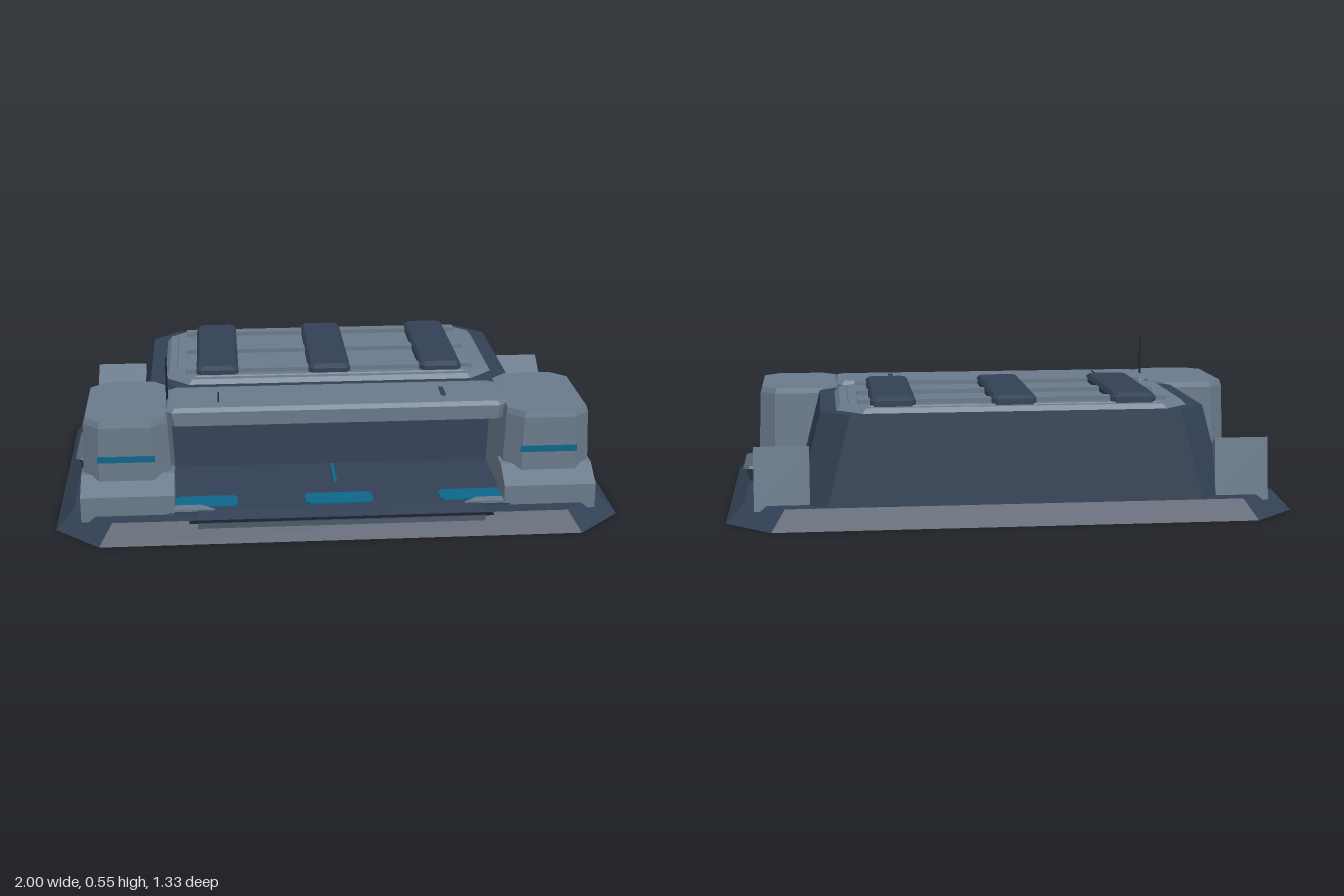
import * as THREE from 'three';

const mat = (name, color) => {
  const m = new THREE.MeshStandardMaterial({ color, side: THREE.DoubleSide });
  m.name = name;
  return m;
};

// Ring with cut corners: [y, x0, x1, z0, z1, cut]
function ring([y, x0, x1, z0, z1, c]) {
  return [
    [x0 + c, z1], [x1 - c, z1], [x1, z1 - c], [x1, z0 + c],
    [x1 - c, z0], [x0 + c, z0], [x0, z0 + c], [x0, z1 - c],
  ].map(([x, z]) => [x, y, z]);
}

// Flat-sided loft through cut-corner rings, from bottom to top
function loft(sections, openBottom = false) {
  const rings = sections.map(ring), pos = [];
  const tri = (...pts) => pts.forEach((p) => pos.push(...p));
  for (let k = 0; k < rings.length - 1; k++) {
    const a = rings[k], b = rings[k + 1];
    for (let i = 0; i < 8; i++) {
      const j = (i + 1) % 8;
      tri(a[i], a[j], b[j]);
      tri(a[i], b[j], b[i]);
    }
  }
  const top = rings[rings.length - 1], low = rings[0];
  for (let i = 1; i < 7; i++) {
    tri(top[0], top[i], top[i + 1]);
    if (!openBottom) tri(low[0], low[i + 1], low[i]);
  }
  const g = new THREE.BufferGeometry();
  g.setAttribute('position', new THREE.Float32BufferAttribute(pos, 3));
  g.computeVertexNormals();
  return g;
}

// Side profile of [z, y] points extruded across x0..x1
function profile(points, x0, x1) {
  const shape = new THREE.Shape(points.map(([z, y]) => new THREE.Vector2(z, y)));
  const g = new THREE.ExtrudeGeometry(shape, { depth: x1 - x0, bevelEnabled: false });
  g.rotateY(-Math.PI / 2);
  g.translate(x1, 0, 0);
  return g;
}

const box = (x0, x1, y0, y1, z0, z1) =>
  new THREE.BoxGeometry(x1 - x0, y1 - y0, z1 - z0)
    .translate((x0 + x1) / 2, (y0 + y1) / 2, (z0 + z1) / 2);

export function createModel() {
  const model = new THREE.Group();
  model.name = 'bunkerBuilding';
  const light = mat('lightSlate', 0x6a7a8b);
  const mid = mat('midSlate', 0x56646f);
  const dark = mat('darkSlate', 0x334155);
  const blue = mat('glowBlue', 0x0e6689);
  const black = mat('nearBlack', 0x18212b);
  const add = (name, geometry, material) => {
    const m = new THREE.Mesh(geometry, material);
    m.name = name;
    model.add(m);
    return m;
  };

  // Sloped foundation, hollow underneath
  add('foundation', loft([
    [0, -1, 1, -0.665, 0.665, 0.16],
    [0.07, -0.935, 0.935, -0.62, 0.62, 0.14],
  ], true), dark);

  // Main hall and its roof plates
  add('hall', loft([
    [0.07, -0.75, 0.75, -0.62, 0.13, 0.1],
    [0.385, -0.67, 0.67, -0.6, 0.12, 0.1],
  ]), dark);
  add('roofPlate', loft([
    [0.38, -0.62, 0.62, -0.575, 0.09, 0.09],
    [0.402, -0.6, 0.6, -0.56, 0.075, 0.085],
  ]), light);
  add('roofPanel', loft([
    [0.4, -0.575, 0.575, -0.535, 0.05, 0.07],
    [0.406, -0.57, 0.57, -0.53, 0.045, 0.07],
  ]), light);

  // Roof slats and the rails below them
  for (const x of [-0.42, 0, 0.42]) {
    add('roofSlat', loft([
      [0.4, x - 0.078, x + 0.078, -0.535, 0.04, 0.015],
      [0.422, x - 0.078, x + 0.078, -0.535, 0.04, 0.015],
      [0.435, x - 0.068, x + 0.068, -0.515, 0.02, 0.015],
    ]), dark);
  }
  for (const z of [-0.475, -0.245, -0.005]) {
    add('roofRail', box(-0.54, 0.54, 0.4, 0.422, z - 0.022, z + 0.022), light);
  }

  // Canopy over the open front bay
  add('canopy', loft([
    [0.335, -0.6, 0.6, 0.15, 0.395, 0.025],
    [0.385, -0.61, 0.61, 0.15, 0.395, 0.025],
    [0.4, -0.6, 0.6, 0.16, 0.385, 0.025],
  ]), light);
  add('canopyGroove', box(-0.423, -0.417, 0.398, 0.402, 0.23, 0.33), black);
  add('canopyVent', box(0.383, 0.4, 0.398, 0.404, 0.23, 0.32), dark);

  // Bay floor, front ramp and lit floor markers
  add('bayFloor', box(-0.6, 0.6, 0.065, 0.076, 0.12, 0.56), dark);
  add('frontRamp', profile([[0.55, 0.06], [0.55, 0.08], [0.64, 0.066], [0.645, 0.05], [0.6, 0.05]], -0.5, 0.5), dark);
  add('rampEdge', box(-0.53, 0.53, 0.064, 0.07, 0.62, 0.635), black);
  for (const [x, w] of [[-0.47, 0.22], [0, 0.24], [0.47, 0.22]]) {
    add('floorMarker', loft([
      [0.074, x - w / 2, x + w / 2, 0.43, 0.52, 0.015],
      [0.082, x - w / 2, x + w / 2, 0.43, 0.52, 0.015],
    ]), blue);
  }
  add('floorLine', box(-0.006, 0.006, 0.074, 0.08, 0.14, 0.32), blue);

  for (const s of [-1, 1]) {
    const span = (a, b) => (s > 0 ? [a, b] : [-b, -a]);
    const side = s > 0 ? 'left' : 'right';

    // Front corner tower
    add(side + 'Tower', loft([
      [0.045, ...span(0.585, 0.905), 0.035, 0.5, 0.06],
      [0.37, ...span(0.6, 0.893), 0.045, 0.492, 0.055],
      [0.39, ...span(0.605, 0.887), 0.05, 0.487, 0.055],
    ], true), light);
    add(side + 'TowerLight', box(...span(0.645, 0.845), 0.244, 0.266, 0.492, 0.5), blue);

    // Sloped foot in front of the tower
    add(side + 'TowerFoot', profile(
      [[0.4, 0.07], [0.53, 0.05], [0.56, 0.05], [0.56, 0.14], [0.47, 0.19], [0.4, 0.19]],
      ...span(0.58, 0.905)), light);

    // Low fin pointing into the bay
    const fin = new THREE.Shape([[0.58, -0.555], [0.44, -0.555], [0.49, -0.515], [0.58, -0.515]]
      .map(([x, y]) => new THREE.Vector2(s * x, y)));
    const finGeo = new THREE.ExtrudeGeometry(fin, { depth: 0.02, bevelEnabled: false });
    finGeo.rotateX(-Math.PI / 2).translate(0, 0.065, 0);
    add(side + 'BayFin', finGeo, light);

    // Rear buttress
    add(side + 'RearButtress', profile(
      [[-0.3, 0.05], [-0.3, 0.135], [-0.535, 0.272], [-0.56, 0.05]],
      ...span(0.71, 0.9)), light);

    // Side step with a lid
    add(side + 'Step', loft([
      [0.065, ...span(0.76, 0.93), -0.125, 0.125, 0.02],
      [0.12, ...span(0.76, 0.945), -0.135, 0.135, 0.02],
    ]), dark);
    add(side + 'StepLid', loft([
      [0.12, ...span(0.765, 0.955), -0.145, 0.145, 0.02],
      [0.13, ...span(0.77, 0.95), -0.14, 0.14, 0.02],
    ]), mid);
  }

  // Antenna on the right tower
  add('antenna', new THREE.CylinderGeometry(0.003, 0.005, 0.17, 6).translate(-0.603, 0.466, 0.27), black);

  return model;
}
